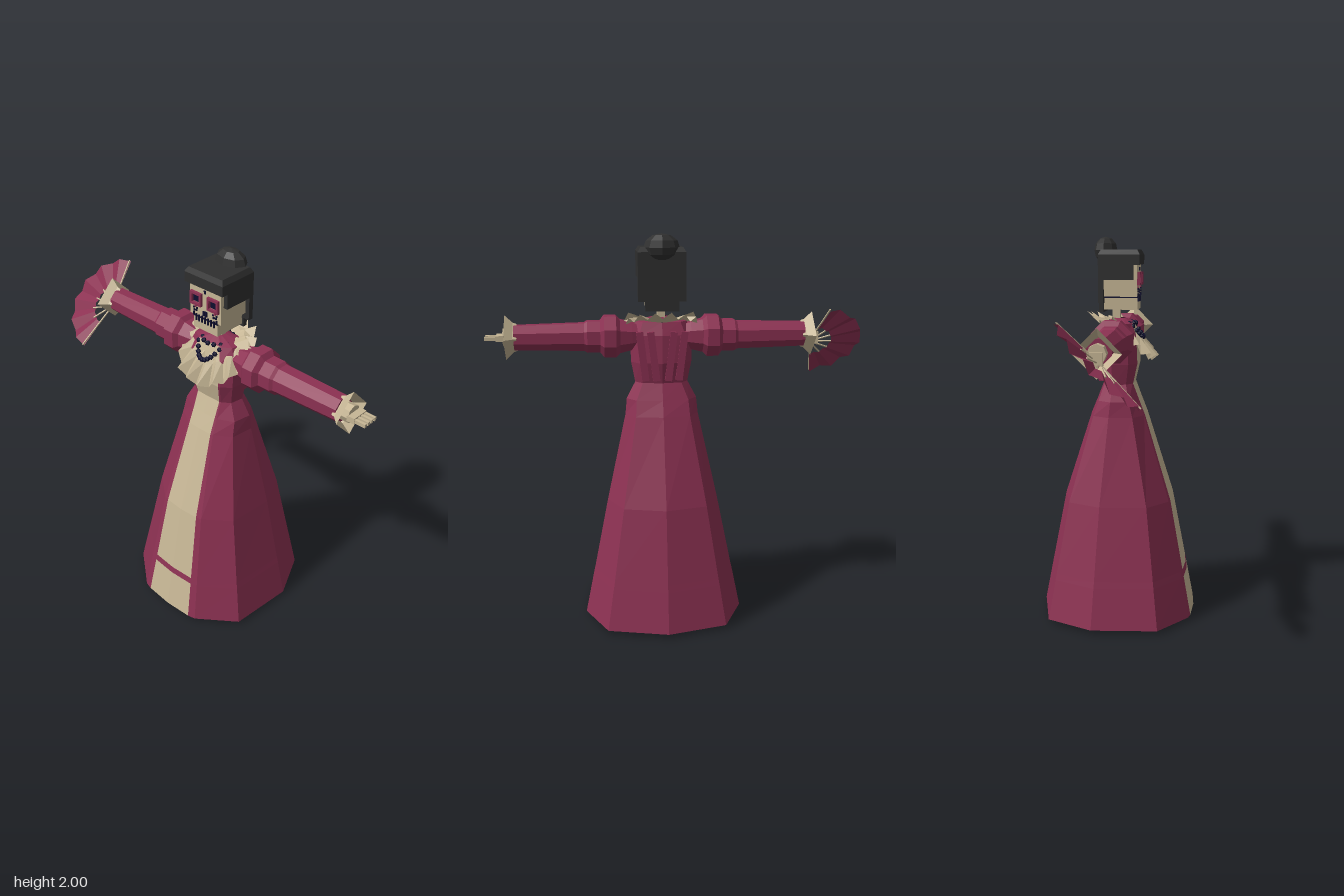
import * as THREE from 'three';

const CX = 0.08; // the body stands off centre because of the fan

export function createModel() {
  const mat = (name, color, side = THREE.DoubleSide) => {
    const m = new THREE.MeshStandardMaterial({ color, side });
    m.name = name;
    return m;
  };
  const crimson = mat('crimson cloth', 0x8c3152), cream = mat('cream cloth and bone', 0xc6b695);
  const hairMat = mat('charcoal hair', 0x2f2f2f), navy = mat('navy', 0x0e0e2e);
  const root = new THREE.Group();
  const body = new THREE.Group();
  body.name = 'body';
  body.position.x = CX;
  root.add(body);

  // ---- helpers ----
  const flat = (g) => {
    const f = g.index ? g.toNonIndexed() : g;
    f.computeVertexNormals();
    return f;
  };
  const add = (parent, name, geo, m) => {
    const mesh = new THREE.Mesh(flat(geo), m);
    mesh.name = name;
    parent.add(mesh);
    return mesh;
  };
  // box from min/max corners; the top may be narrowed
  const box = (parent, name, m, [x0, x1], [y0, y1], [z0, z1], top = 1) => {
    const g = new THREE.BoxGeometry(x1 - x0, y1 - y0, z1 - z0);
    const p = g.attributes.position;
    for (let i = 0; i < p.count; i++) if (p.getY(i) > 0) p.setXYZ(i, p.getX(i) * top, p.getY(i), p.getZ(i) * top);
    g.translate((x0 + x1) / 2, (y0 + y1) / 2, (z0 + z1) / 2);
    return add(parent, name, g, m);
  };
  const quads = (list) => {
    const v = [];
    for (const [a, b, c, d] of list) v.push(...a, ...b, ...c, ...a, ...c, ...d);
    return new THREE.BufferGeometry().setAttribute('position', new THREE.Float32BufferAttribute(v, 3));
  };

  // ---- gown: lofted rows of [y, half width, half depth, front panel ratio] ----
  const ring = ([y, sx, sz, e]) => {
    const half = [[0, 0.99], [e, 0.965], [Math.max(0.46, e + 0.06), 0.94], [0.92, 0.58], [1, -0.24], [0.735, -0.82], [0, -1]];
    const all = [...half, ...half.slice(1, -1).reverse().map(([x, z]) => [-x, z])];
    return all.map(([x, z]) => [x * sx, y, z * sz]);
  };
  const gown = (rows, name, gapRow) => {
    const red = [], pale = [];
    const rings = rows.map(ring);
    for (let r = 0; r < rings.length - 1; r++) {
      const n = rings[r].length;
      for (let i = 0; i < n; i++) {
        const j = (i + 1) % n;
        const front = (i === 0 || i === n - 1) && r !== gapRow;
        (front ? pale : red).push([rings[r][i], rings[r][j], rings[r + 1][j], rings[r + 1][i]]);
      }
    }
    add(body, name, quads(red), crimson);
    add(body, name + 'FrontPanel', quads(pale), cream);
  };
  gown([[0.02, 0.415, 0.415, 0.36], [0.23, 0.372, 0.374, 0.36], [0.265, 0.364, 0.367, 0.36], [0.64, 0.288, 0.293, 0.36],
    [1.09, 0.188, 0.148, 0.39], [1.17, 0.18, 0.115, 0.4], [1.255, 0.135, 0.082, 0.54]], 'skirt', 1);
  gown([[1.255, 0.135, 0.082, 0.54], [1.36, 0.155, 0.106, 0.55], [1.5, 0.16, 0.1, 0.55],
    [1.565, 0.13, 0.075, 0.5], [1.59, 0.03, 0.03, 0.5]], 'bodice', 3);
  for (const s of [-1, 1]) {
    for (const x of [0.045, 0.1]) {
      const fold = box(body, 'backPleat', crimson, [-0.018, 0.018], [-0.13, 0.12], [-0.012, 0.012]);
      fold.position.set(s * x, 1.4, -0.1 + x * 0.15);
      fold.rotation.z = -s * 0.12;
    }
  }

  // ---- ruffled collar, low in front and raised behind ----
  const N = 32;
  const collarPoint = (i, t) => {
    const a = (i / N) * Math.PI * 2, c = Math.cos(a), s = Math.sin(a);
    const wave = (i % 2 ? 1 : -1) * 0.016 * t;
    const yOut = 1.535 - (c > 0 ? 0.15 : 0.07) * c + wave;
    const k = t * (1 + (i % 4 === 1 ? 0.06 : 0));
    return [s * (0.075 + 0.125 * k), 1.555 + (yOut - 1.555) * k + 0.025 * Math.sin(Math.PI * t) * Math.abs(s),
      0.06 * c + (0.02 + 0.105 * c) * k + wave * c];
  };
  const ruffle = [];
  for (let i = 0; i < N; i++) {
    for (const [t0, t1] of [[0, 0.5], [0.5, 1]]) {
      ruffle.push([collarPoint(i, t1), collarPoint(i + 1, t1), collarPoint(i + 1, t0), collarPoint(i, t0)]);
    }
  }
  add(body, 'collar', quads(ruffle), cream);
  // upright lapel points beside the neck
  for (const s of [-1, 1]) {
    add(body, 'collarPoint', quads([[[s * 0.07, 1.55, 0.03], [s * 0.2, 1.54, 0.02], [s * 0.165, 1.61, -0.02], [s * 0.08, 1.58, -0.03]]]), cream);
  }

  // ---- necklace ----
  const bead = (x, y, z) => add(body, 'bead', new THREE.IcosahedronGeometry(0.0135, 0), navy).position.set(x, y, z);
  for (let i = 0; i < 14; i++) {
    const a = (i / 14) * Math.PI * 2;
    bead(0.075 * Math.sin(a), 1.565, 0.01 + 0.075 * Math.cos(a));
  }
  for (let i = 0; i < 11; i++) {
    const u = i / 5 - 1;
    bead(0.068 * u, 1.49 + 0.06 * u * u, 0.125 - 0.05 * u * u);
  }

  // ---- arms ----
  const lathe = (pts, sides) => new THREE.LatheGeometry(pts.map(([x, r]) => new THREE.Vector2(r, x)), sides).rotateZ(-Math.PI / 2);
  for (const s of [1, -1]) {
    const arm = new THREE.Group();
    arm.name = s > 0 ? 'leftArm' : 'rightArm';
    arm.position.set(0, 1.49, -0.005);
    arm.rotation.y = s > 0 ? 0 : Math.PI;
    body.add(arm);
    add(arm, 'sleeve', lathe([[0.1, 0.06], [0.15, 0.075], [0.21, 0.09], [0.23, 0.112], [0.29, 0.112], [0.31, 0.085],
      [0.375, 0.085], [0.39, 0.075], [0.74, 0.066], [0.74, 0]], 8).rotateX(Math.PI / 8), crimson);
    add(arm, 'cuff', lathe([[0.725, 0.068], [0.745, 0.075], [0.785, 0.113]], 4), cream);
    add(arm, 'wrist', lathe([[0.73, 0.045], [0.795, 0.045], [0.795, 0]], 8), cream);
    if (s > 0) {
      box(arm, 'palm', cream, [0.79, 0.83], [-0.014, 0.014], [-0.045, 0.045]);
      for (let f = 0; f < 4; f++) {
        const z = -0.036 + f * 0.024;
        box(arm, 'finger', cream, [0.82, 0.885], [-0.009, 0.009], [z - 0.007, z + 0.007]);
      }
    } else {
      box(arm, 'palm', cream, [0.78, 0.815], [-0.05, 0.01], [-0.03, 0.03]);
    }
  }

  // ---- folding fan in the right hand, tilted back ----
  const fan = new THREE.Group();
  fan.name = 'fan';
  fan.position.set(-0.7, 1.445, 0.01);
  fan.rotation.x = -Math.PI / 4;
  root.add(fan);
  const leaf = [], SEG = 12;
  const fanPoint = (i, r) => {
    const a = (i / SEG - 0.5) * 2.74;
    return [-r * Math.cos(a), r * Math.sin(a), (i % 2 ? 1 : -1) * 0.05 * r];
  };
  for (let i = 0; i < SEG; i++) leaf.push([fanPoint(i, 0.115), fanPoint(i + 1, 0.115), fanPoint(i + 1, 0.268), fanPoint(i, 0.268)]);
  add(fan, 'fanLeaf', quads(leaf), crimson);
  for (let i = 0; i <= SEG; i += 2) {
    const end = i === 0 || i === SEG;
    const len = end ? 0.268 : 0.13;
    const rib = add(fan, 'fanRib', new THREE.BoxGeometry(len, 0.007, 0.006).translate(-len / 2, 0, 0), cream);
    rib.rotation.z = -(i / SEG - 0.5) * 2.74;
  }

  // ---- head ----
  const head = new THREE.Group();
  head.name = 'head';
  body.add(head);
  box(head, 'neck', cream, [-0.02, 0.02], [1.55, 1.65], [-0.035, 0.005]);
  box(head, 'skull', cream, [-0.098, 0.098], [1.702, 1.88], [-0.073, 0.1]);
  box(head, 'mouthGap', navy, [-0.076, 0.076], [1.694, 1.703], [-0.072, 0.101]);
  box(head, 'jaw', cream, [-0.076, 0.076], [1.635, 1.695], [-0.072, 0.1]);
  const plate = (name, m, x, y, w, h, z = 0.1, d = 0.006) =>
    box(head, name, m, [x - w / 2, x + w / 2], [y - h / 2, y + h / 2], [z, z + d]);
  for (const s of [-1, 1]) {
    const x = s * 0.054;
    for (const d of [-1, 1]) {
      plate('eyeFrame', crimson, x + d * 0.029, 1.792, 0.012, 0.066, 0.1, 0.014);
      plate('eyeFrame', crimson, x, 1.792 + d * 0.027, 0.05, 0.012, 0.1, 0.014);
    }
    plate('eye', navy, x, 1.792, 0.032, 0.03);
    // cheek flower
    for (let i = 0; i < 5; i++) {
      const a = (i / 5) * Math.PI * 2;
      plate('cheekPetal', i ? navy : crimson, s * 0.062 + 0.011 * Math.sin(a), 1.737 + 0.011 * Math.cos(a), 0.008, 0.008);
    }
    plate('noseHole', navy, s * 0.007, 1.727, 0.011, 0.025);
    plate('smileEnd', navy, s * 0.072, 1.71, 0.008, 0.016);
  }
  for (let i = -3; i <= 3; i++) plate('toothLine', navy, i * 0.019, 1.693, 0.007, 0.034);
  plate('foreheadMark', navy, 0, 1.84, 0.01, 0.016);

  // ---- hair ----
  box(head, 'hairCap', hairMat, [-0.12, 0.12], [1.862, 1.912], [-0.097, 0.115]);
  box(head, 'hairCrown', hairMat, [-0.12, 0.12], [1.912, 1.936], [-0.097, 0.115], 0.88);
  for (const s of [-1, 1]) {
    const x = s * 0.109;
    box(head, 'hairSide', hairMat, [x - 0.011, x + 0.011], [1.787, 1.865], [-0.09, 0.082]);
  }
  box(head, 'hairBack', hairMat, [-0.12, 0.12], [1.67, 1.865], [-0.097, -0.07]);
  box(head, 'hairNape', hairMat, [-0.085, 0.085], [1.622, 1.67], [-0.097, -0.073]);
  const bun = add(head, 'bun', new THREE.SphereGeometry(1, 8, 6), hairMat);
  bun.scale.set(0.09, 0.068, 0.06);
  bun.position.set(0, 1.934, -0.072);

  // ---- legs and shoes ----
  for (const s of [-1, 1]) {
    const leg = new THREE.Group();
    leg.name = s > 0 ? 'leftLeg' : 'rightLeg';
    leg.position.x = s * 0.115;
    body.add(leg);
    box(leg, 'sole', navy, [-0.058, 0.058], [0, 0.028], [-0.083, 0.222]);
    box(leg, 'shoe', hairMat, [-0.046, 0.046], [0.028, 0.075], [-0.07, 0.2], 0.85);
    box(leg, 'ankle', hairMat, [-0.036, 0.036], [0.07, 0.13], [-0.06, 0.05], 0.85);
    for (const x of [-0.014, 0.014]) box(leg, 'legBone', cream, [x - 0.009, x + 0.009], [0.12, 0.62], [-0.02, 0.0]);
    box(leg, 'thighBone', cream, [-0.018, 0.018], [0.62, 1.05], [-0.028, 0.008]);
  }
  return root;
}
